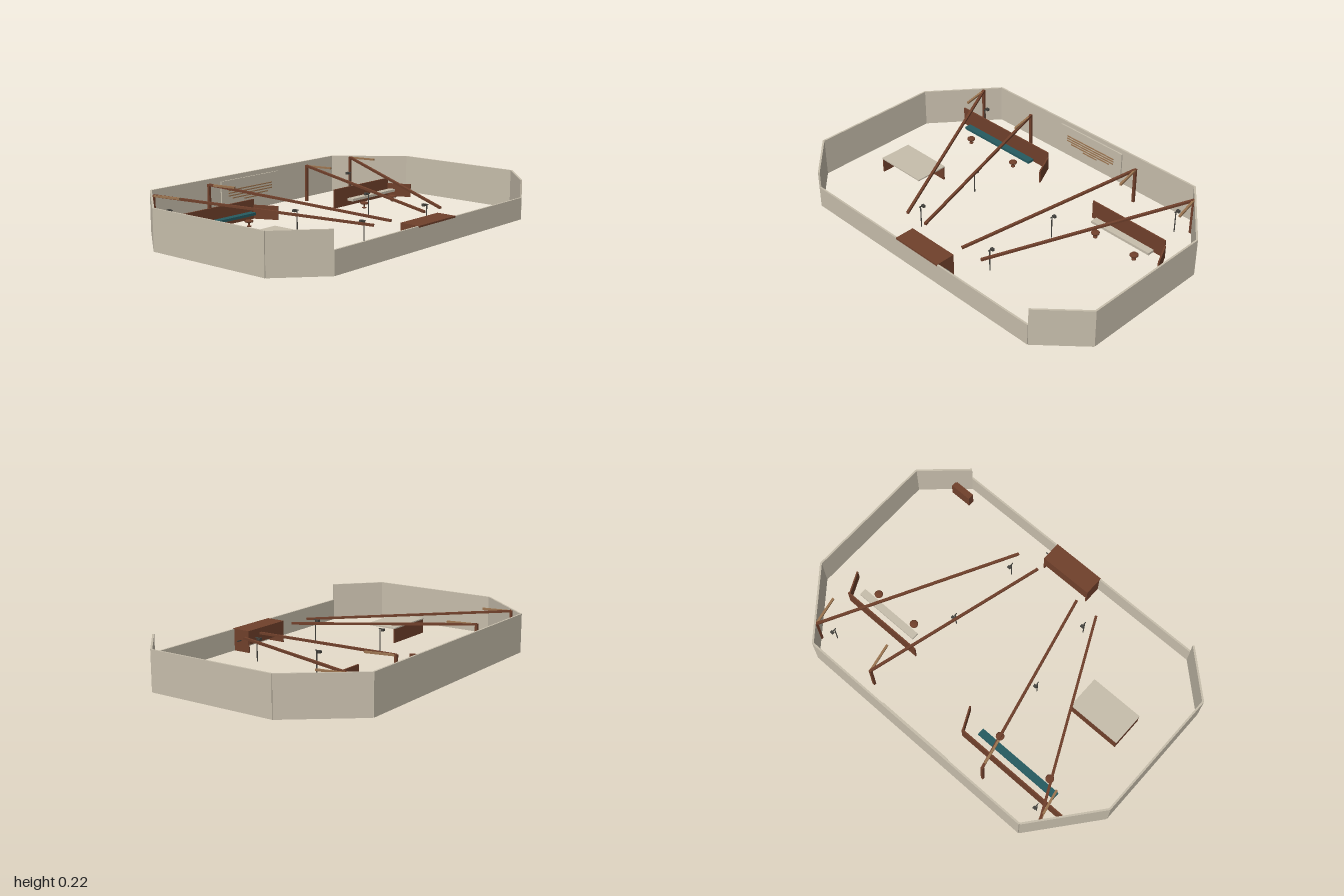
import * as THREE from 'three';

const mat = (name, color) => {
  const m = new THREE.MeshStandardMaterial({ color });
  m.name = name;
  return m;
};

export function createModel() {
  const root = new THREE.Group();
  root.name = 'walledCourt';
  const plaster = mat('plaster', 0xc6bdab);
  const wood = mat('brown wood', 0x70402b);
  const tan = mat('tan wood', 0x9a7450);
  const teal = mat('teal', 0x265a60);
  const metal = mat('dark metal', 0x45443f);

  const add = (name, geo, material, x, y, z, parent = root) => {
    const m = new THREE.Mesh(geo, material);
    m.name = name;
    m.position.set(x, y, z);
    parent.add(m);
    return m;
  };
  // Box given by its minimum and maximum corners
  const box = (name, material, [x0, y0, z0], [x1, y1, z1], parent = root) =>
    add(name, new THREE.BoxGeometry(x1 - x0, y1 - y0, z1 - z0), material,
      (x0 + x1) / 2, (y0 + y1) / 2, (z0 + z1) / 2, parent);
  // Square bar laid from a to b
  const bar = (name, material, a, b, w, h, parent = root) => {
    const p = new THREE.Vector3(...a), q = new THREE.Vector3(...b);
    const c = p.clone().add(q).multiplyScalar(0.5);
    const m = add(name, new THREE.BoxGeometry(w, h, p.distanceTo(q)), material, c.x, c.y, c.z, parent);
    m.lookAt(q);
    return m;
  };

  // Eight-sided perimeter wall, low on the +x side
  const corners = [[0.44, 0.995], [0.646, 0.77], [0.646, -0.77], [0.44, -0.995],
    [-0.3, -0.995], [-0.65, -0.71], [-0.65, 0.71], [-0.3, 0.995]];
  corners.forEach(([x, z], i) => {
    const [u, v] = corners[(i + 1) % corners.length];
    const h = i === 1 ? 0.12 : 0.215;
    bar(i === 1 ? 'lowWall' : 'wall', plaster, [x, h / 2, z], [u, h / 2, v], 0.01, h);
  });

  // Posts, sloping rails and short top arms
  for (const [z, zEnd] of [[0.77, 0.27], [0.385, 0.135], [-0.385, -0.14], [-0.775, -0.275]]) {
    box('post', wood, [-0.567, 0, z - 0.007], [-0.553, 0.21, z + 0.007]);
    bar('slopingRail', wood, [-0.56, 0.207, z], [0.47, 0.119, zEnd], 0.014, 0.012);
    bar('topArm', tan, [-0.56, 0.206, z], [-0.4, 0.206, z - 0.033], 0.012, 0.01);
  }

  // Small lamps on thin poles
  for (const [x, z] of [[-0.505, -0.71], [-0.02, -0.29], [0.395, -0.26],
    [-0.02, 0.285], [0.395, 0.253], [-0.505, 0.703]]) {
    const lamp = new THREE.Group();
    lamp.name = 'lamp';
    lamp.position.set(x, 0, z);
    root.add(lamp);
    add('lampPole', new THREE.CylinderGeometry(0.003, 0.003, 0.13, 8), metal, 0, 0.065, 0, lamp);
    box('lampArm', metal, [-0.016, 0.127, -0.002], [0.01, 0.131, 0.002], lamp);
    box('lampHead', metal, [-0.026, 0.117, -0.009], [-0.012, 0.13, 0.009], lamp);
  }

  // Round stool
  const stoolProfile = [[0, 0], [0.012, 0], [0.012, 0.004], [0.005, 0.006], [0.005, 0.022],
    [0.022, 0.024], [0.023, 0.03], [0.018, 0.035], [0, 0.036]].map(p => new THREE.Vector2(...p));
  const stool = (x, z) => add('stool', new THREE.LatheGeometry(stoolProfile, 16), wood, x, 0, z);

  // Counters: back panel with an angled wing, worktop and two stools
  const counter = (x, z0, z1, t0, t1, material, stools) => {
    box('counterBackPanel', wood, [x - 0.004, 0, z0], [x + 0.004, 0.108, z1]);
    bar('counterWing', wood, [x, 0.038, z0], [x + 0.127, 0.038, z0 - 0.061], 0.008, 0.076);
    box('counterTop', material, [x + 0.046, 0.042, t0], [x + 0.086, 0.056, t1]);
    for (const z of stools) stool(x + 0.119, z);
  };
  counter(-0.3, -0.81, -0.325, -0.775, -0.39, plaster, [-0.71, -0.45]);
  counter(-0.46, 0.155, 0.83, 0.222, 0.735, teal, [0.31, 0.65]);

  // Desk with two skirt panels and a stool below
  box('deskTop', plaster, [0.015, 0.08, 0.485], [0.205, 0.087, 0.79]);
  box('deskSidePanel', wood, [0.016, 0, 0.487], [0.024, 0.08, 0.788]);
  box('deskEndPanel', wood, [0.024, 0, 0.78], [0.204, 0.08, 0.788]);
  stool(0.09, 0.66);

  // Cabinet against the low wall
  box('cabinetTop', wood, [0.54, 0.113, -0.155], [0.652, 0.122, 0.15]);
  for (const z of [-0.155, 0.142]) box('cabinetEnd', wood, [0.541, 0, z], [0.641, 0.113, z + 0.008]);
  box('cabinetFront', wood, [0.54, 0.045, -0.147], [0.547, 0.113, 0.142]);
  box('cabinetHandle', metal, [0.593, 0.06, -0.185], [0.597, 0.066, -0.155]);

  // Small bench in the corner
  box('cornerBench', wood, [0.55, 0, -0.838], [0.585, 0.08, -0.712]);

  // Wall panel with slats
  box('wallPanel', plaster, [-0.645, 0.04, -0.225], [-0.637, 0.19, 0.22]);
  [[0.07, 0.05], [0.085, 0.14], [0.1, 0.17], [0.115, 0.17], [0.13, 0.17]].forEach(([y, half]) =>
    box('wallSlat', tan, [-0.637, y, -half], [-0.633, y + 0.006, half]));

  return root;
}
